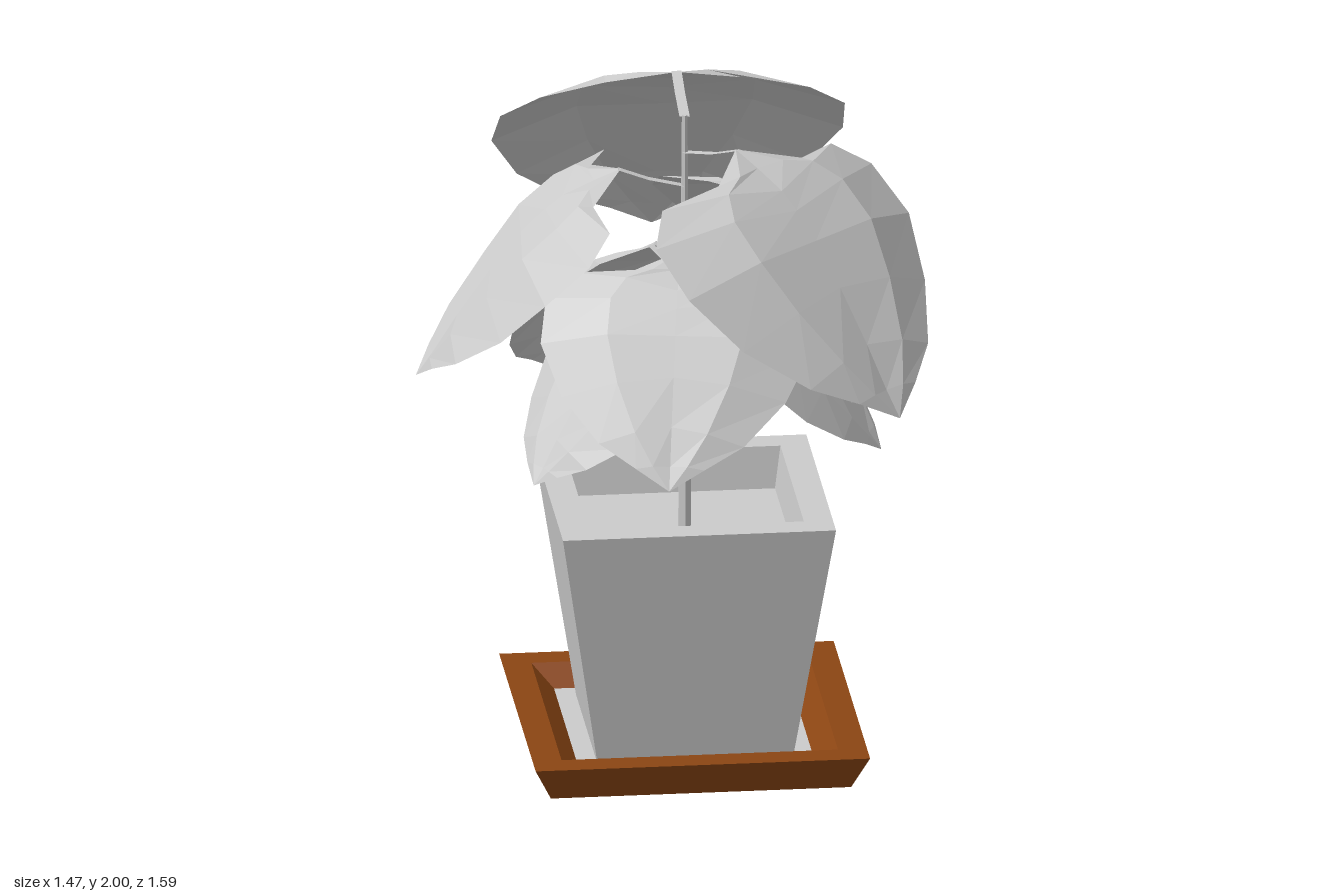
import * as THREE from 'three';

const grey = new THREE.MeshStandardMaterial({ color: 0xcccccc, flatShading: true });
const leafGrey = new THREE.MeshStandardMaterial({ color: 0xcccccc, flatShading: true, side: THREE.DoubleSide });
const brown = new THREE.MeshStandardMaterial({ color: 0x8b4513, flatShading: true });

// Square vessel: profile of [half width, height] turned in four steps
function squareLathe(name, profile, material) {
  const points = profile.map(([h, y]) => new THREE.Vector2(h * Math.SQRT2, y));
  const mesh = new THREE.Mesh(new THREE.LatheGeometry(points, 4, Math.PI / 4), material);
  mesh.name = name;
  return mesh;
}

// Grid of points, given row by row, joined into a surface
function gridGeometry(rows) {
  const cols = rows[0].length, index = [];
  for (let i = 0; i < rows.length - 1; i++) {
    for (let j = 0; j < cols - 1; j++) {
      const a = i * cols + j, b = a + 1, c = a + cols, d = c + 1;
      index.push(a, c, b, b, c, d);
    }
  }
  const geo = new THREE.BufferGeometry();
  geo.setAttribute('position', new THREE.Float32BufferAttribute(rows.flat(2), 3));
  geo.setIndex(index);
  geo.computeVertexNormals();
  return geo;
}

// Domed heart-shaped blade growing along +z, origin where the stalk meets the stem
function leafGeometry() {
  // midrib [height, reach] and matching edge [half width, height, reach]
  const midrib = [[0.06, 0.21], [0.02, 0.30], [-0.03, 0.40], [-0.08, 0.46], [-0.16, 0.54],
    [-0.29, 0.64], [-0.45, 0.75], [-0.58, 0.83], [-0.66, 0.885]];
  const edge = [[0, 0.06, 0.21], [0.2, 0, 0.305], [0.395, -0.02, 0.255], [0.505, -0.1, 0.325],
    [0.515, -0.23, 0.47], [0.425, -0.39, 0.615], [0.275, -0.52, 0.76], [0.13, -0.59, 0.835], [0, -0.66, 0.885]];
  const rows = midrib.map(([my, mz], i) => {
    const [w, ey, ez] = edge[i];
    return [-1, -0.5, 0, 0.5, 1].map((t) => {
      const k = Math.abs(t);
      const dome = 4 * k * (1 - k) * 0.07 * w;
      return [t * w, my + (ey - my) * k + dome, mz + (ez - mz) * k + dome];
    });
  });
  return gridGeometry(rows);
}

// Flat, kinked leaf stalk
function stalkGeometry() {
  const path = [[0, 0], [0.025, 0.12], [0.06, 0.22]];
  return gridGeometry(path.map(([y, z]) => [[-0.015, y, z], [0.015, y, z]]));
}

export function createModel() {
  const model = new THREE.Group();
  const plant = new THREE.Group();
  plant.name = 'pottedPlant';
  plant.position.set(0.04, 0, 0.1);
  model.add(plant);

  // Saucer and its floor
  plant.add(squareLathe('saucer',
    [[0, 0], [0.44, 0], [0.49, 0.105], [0.405, 0.105], [0.345, 0.045]], brown));
  plant.add(squareLathe('saucerFloor', [[0.345, 0.045], [0, 0.045]], grey));

  // Pot and soil
  plant.add(squareLathe('pot',
    [[0, 0.046], [0.287, 0.046], [0.4, 0.785], [0.315, 0.785], [0.297, 0.66]], grey));
  plant.add(squareLathe('soil', [[0.297, 0.66], [0, 0.66]], grey));

  // Stem
  const stem = new THREE.Mesh(new THREE.CylinderGeometry(0.009, 0.021, 1.295, 6), grey);
  stem.name = 'stem';
  stem.position.y = 1.2975;
  plant.add(stem);

  // Leaves spiral down the stem by the golden angle, shrinking as they go
  const blade = leafGeometry(), stalk = stalkGeometry();
  for (let i = 0; i < 8; i++) {
    const leaf = new THREE.Group();
    leaf.name = `leaf${i + 1}`;
    const size = 1 - i * 0.0575;
    const tipHeight = 1.28 - i * 0.075 + i * i * 0.003;
    leaf.position.y = tipHeight + 0.66 * size;
    leaf.rotation.y = THREE.MathUtils.degToRad(180 - 137.5 * i);
    leaf.scale.setScalar(size);
    const bladeMesh = new THREE.Mesh(blade, leafGrey);
    bladeMesh.name = 'leafBlade';
    const stalkMesh = new THREE.Mesh(stalk, leafGrey);
    stalkMesh.name = 'leafStalk';
    leaf.add(bladeMesh, stalkMesh);
    plant.add(leaf);
  }
  return model;
}
